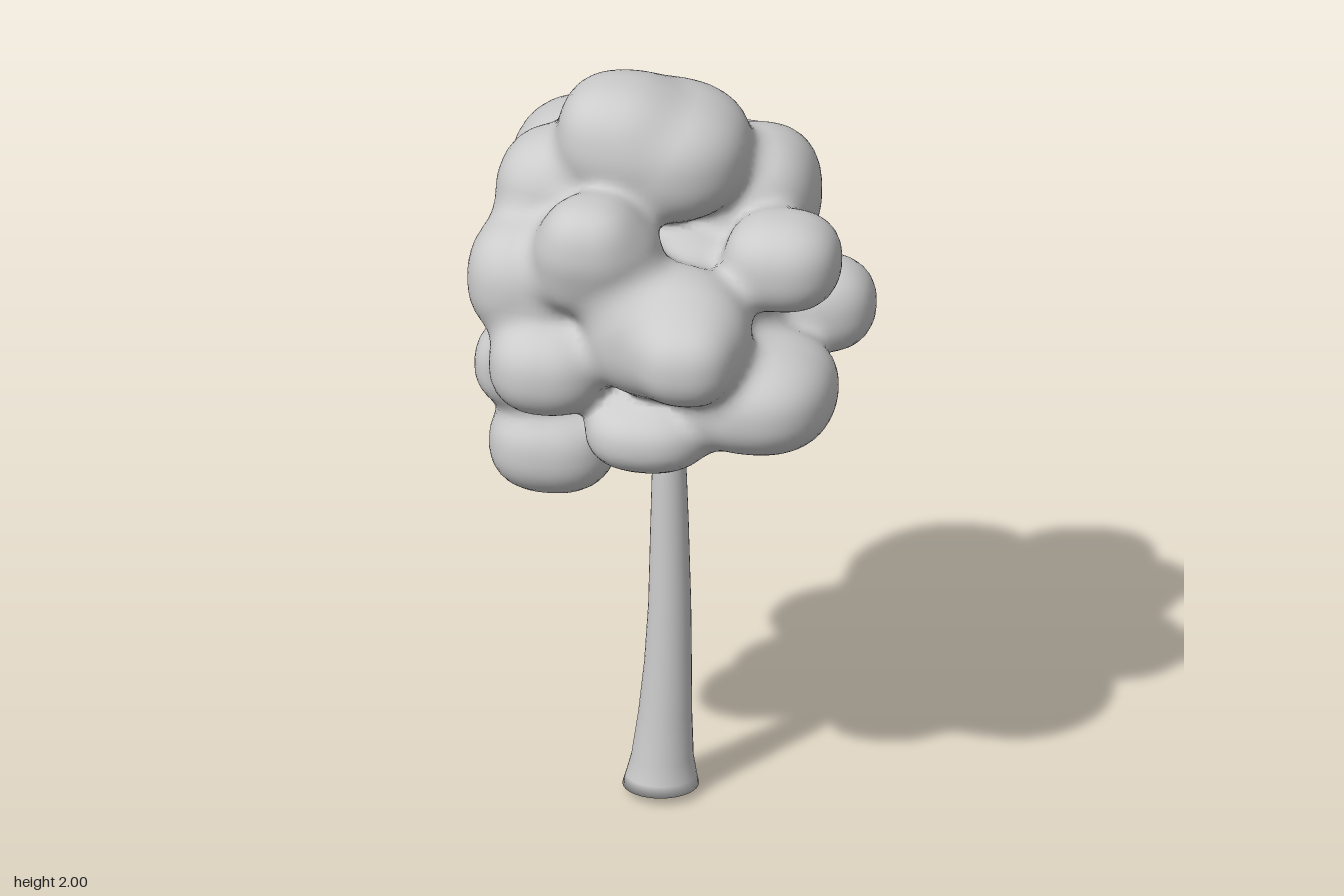
import * as THREE from 'three';

// Foliage clumps: centre x, y, z, then radii x, y, z
const CLUMPS = [
  [0.02, 1.36, -0.01, 0.29, 0.24, 0.28],     // core
  [-0.035, 1.785, 0.01, 0.245, 0.17, 0.225], // crown
  [-0.12, 1.865, 0.06, 0.15, 0.13, 0.16],
  [-0.14, 1.59, 0.28, 0.165, 0.14, 0.15],    // front upper
  [-0.15, 1.67, 0.33, 0.115, 0.105, 0.115],
  [0.05, 1.42, 0.32, 0.215, 0.17, 0.16],     // front middle
  [0.12, 1.40, 0.42, 0.13, 0.12, 0.14],
  [-0.26, 1.30, 0.29, 0.155, 0.13, 0.165],   // front lower
  [0.0, 1.135, 0.29, 0.165, 0.1, 0.17],
  [0.27, 1.225, 0.22, 0.2, 0.14, 0.225],
  [0.37, 1.345, -0.08, 0.15, 0.125, 0.125],  // +x side
  [0.32, 1.565, 0.15, 0.15, 0.125, 0.145],
  [0.2, 1.61, -0.14, 0.165, 0.175, 0.19],
  [0.11, 1.5, -0.35, 0.2, 0.18, 0.215],      // back
  [0.06, 1.26, -0.24, 0.2, 0.12, 0.19],
  [-0.13, 1.22, -0.33, 0.18, 0.12, 0.18],
  [-0.14, 1.21, -0.46, 0.11, 0.08, 0.115],
  [-0.25, 1.59, -0.25, 0.205, 0.18, 0.215],
  [-0.27, 1.65, 0.02, 0.175, 0.17, 0.17],    // -x side
  [-0.33, 1.49, 0.18, 0.16, 0.16, 0.175],
  [-0.37, 1.38, -0.08, 0.145, 0.12, 0.13],
  [-0.33, 1.21, 0.11, 0.155, 0.12, 0.15],
  [-0.28, 1.0, 0.12, 0.165, 0.13, 0.16],     // low hanging
  [-0.17, 1.09, -0.18, 0.14, 0.095, 0.135],
];
const BLEND = 0.06;
const POWER = 2.35; // above 2 makes the clumps a little boxy

// Approximate distance to the softly blended clumps
function field(x, y, z) {
  let d = 1e3;
  for (const [cx, cy, cz, rx, ry, rz] of CLUMPS) {
    const a = Math.abs(x - cx) / rx, b = Math.abs(y - cy) / ry, c = Math.abs(z - cz) / rz;
    const a1 = a ** (POWER - 1), b1 = b ** (POWER - 1), c1 = c ** (POWER - 1);
    const k = Math.max((a * a1 + b * b1 + c * c1) ** (1 / POWER), 1e-4);
    const slope = Math.max(Math.hypot(a1 / rx, b1 / ry, c1 / rz) / k ** (POWER - 1), 1);
    const e = (k - 1) / slope;
    const h = Math.max(BLEND - Math.abs(d - e), 0) / BLEND;
    d = Math.min(d, e) - h * h * BLEND / 4;
  }
  return d;
}

// Skin the field: one vertex per crossed grid cell, one quad per crossed grid edge
function skinField(min, max, step) {
  const n = min.map((m, i) => Math.ceil((max[i] - m) / step) + 1);
  const stride = [1, n[0], n[0] * n[1]];
  const values = new Float32Array(n[0] * n[1] * n[2]);
  const at = (i, j, k) => i + j * stride[1] + k * stride[2];
  const eachCell = (from, to, visit) => {
    for (let k = from; k < n[2] - to; k++)
      for (let j = from; j < n[1] - to; j++)
        for (let i = from; i < n[0] - to; i++) visit([i, j, k], at(i, j, k));
  };
  eachCell(0, 0, (c, id) => {
    values[id] = field(...c.map((v, a) => min[a] + v * step));
  });

  const positions = [], normals = [], indices = [], vertexOf = new Map();
  eachCell(0, 1, (c, id) => {
    const sum = [0, 0, 0];
    let hits = 0;
    for (let axis = 0; axis < 3; axis++) {
      const u = (axis + 1) % 3, v = (axis + 2) % 3;
      for (let q = 0; q < 4; q++) {
        const du = q & 1, dv = q >> 1;
        const start = id + du * stride[u] + dv * stride[v];
        const f0 = values[start], f1 = values[start + stride[axis]];
        if ((f0 < 0) === (f1 < 0)) continue;
        sum[axis] += f0 / (f0 - f1);
        sum[u] += du;
        sum[v] += dv;
        hits++;
      }
    }
    if (!hits) return;
    const [x, y, z] = c.map((v, a) => min[a] + (v + sum[a] / hits) * step);
    const e = 0.008;
    const normal = new THREE.Vector3(
      field(x + e, y, z) - field(x - e, y, z),
      field(x, y + e, z) - field(x, y - e, z),
      field(x, y, z + e) - field(x, y, z - e)).normalize();
    vertexOf.set(id, positions.length / 3);
    positions.push(x, y, z);
    normals.push(normal.x, normal.y, normal.z);
  });
  eachCell(1, 1, (c, id) => {
    for (let axis = 0; axis < 3; axis++) {
      const inside = values[id] < 0;
      if (inside === (values[id + stride[axis]] < 0)) continue;
      const su = stride[(axis + 1) % 3], sv = stride[(axis + 2) % 3];
      const [p, q, r, s] = [id - su - sv, id - sv, id, id - su].map((v) => vertexOf.get(v));
      if (inside) indices.push(p, q, r, p, r, s);
      else indices.push(p, r, q, p, s, r);
    }
  });

  const geometry = new THREE.BufferGeometry();
  geometry.setAttribute('position', new THREE.Float32BufferAttribute(positions, 3));
  geometry.setAttribute('normal', new THREE.Float32BufferAttribute(normals, 3));
  geometry.setIndex(indices);
  return geometry;
}

// Flared trunk with a slightly domed foot, leaning along its height
function trunkGeometry() {
  const profile = [
    [0.001, 0], [0.05, 0.006], [0.098, 0.022], [0.091, 0.05], [0.08, 0.1], [0.069, 0.22],
    [0.061, 0.36], [0.055, 0.52], [0.049, 0.75], [0.041, 1.0], [0.036, 1.15], [0.03, 1.35],
  ].map(([r, y]) => new THREE.Vector2(r, y));
  const geometry = new THREE.LatheGeometry(profile, 32);
  const lean = new THREE.CatmullRomCurve3([
    new THREE.Vector3(-0.014, 0, 0.065), new THREE.Vector3(0.006, 0.45, 0.047),
    new THREE.Vector3(0.004, 0.9, 0.036), new THREE.Vector3(0, 1.35, 0.025),
  ]);
  const p = geometry.attributes.position;
  for (let i = 0; i < p.count; i++) {
    const c = lean.getPoint(p.getY(i) / 1.35);
    p.setX(i, p.getX(i) + c.x);
    p.setZ(i, p.getZ(i) + c.z);
  }
  return geometry;
}

export function createModel() {
  const tree = new THREE.Group();
  tree.name = 'tree';
  const material = new THREE.MeshStandardMaterial({ color: 0xcccccc, roughness: 0.9 });
  const add = (name, geometry) => {
    const mesh = new THREE.Mesh(geometry, material);
    mesh.name = name;
    tree.add(mesh);
  };
  add('trunk', trunkGeometry());
  add('foliage', skinField([-0.62, 0.8, -0.66], [0.62, 2.08, 0.66], 0.018));
  return tree;
}
